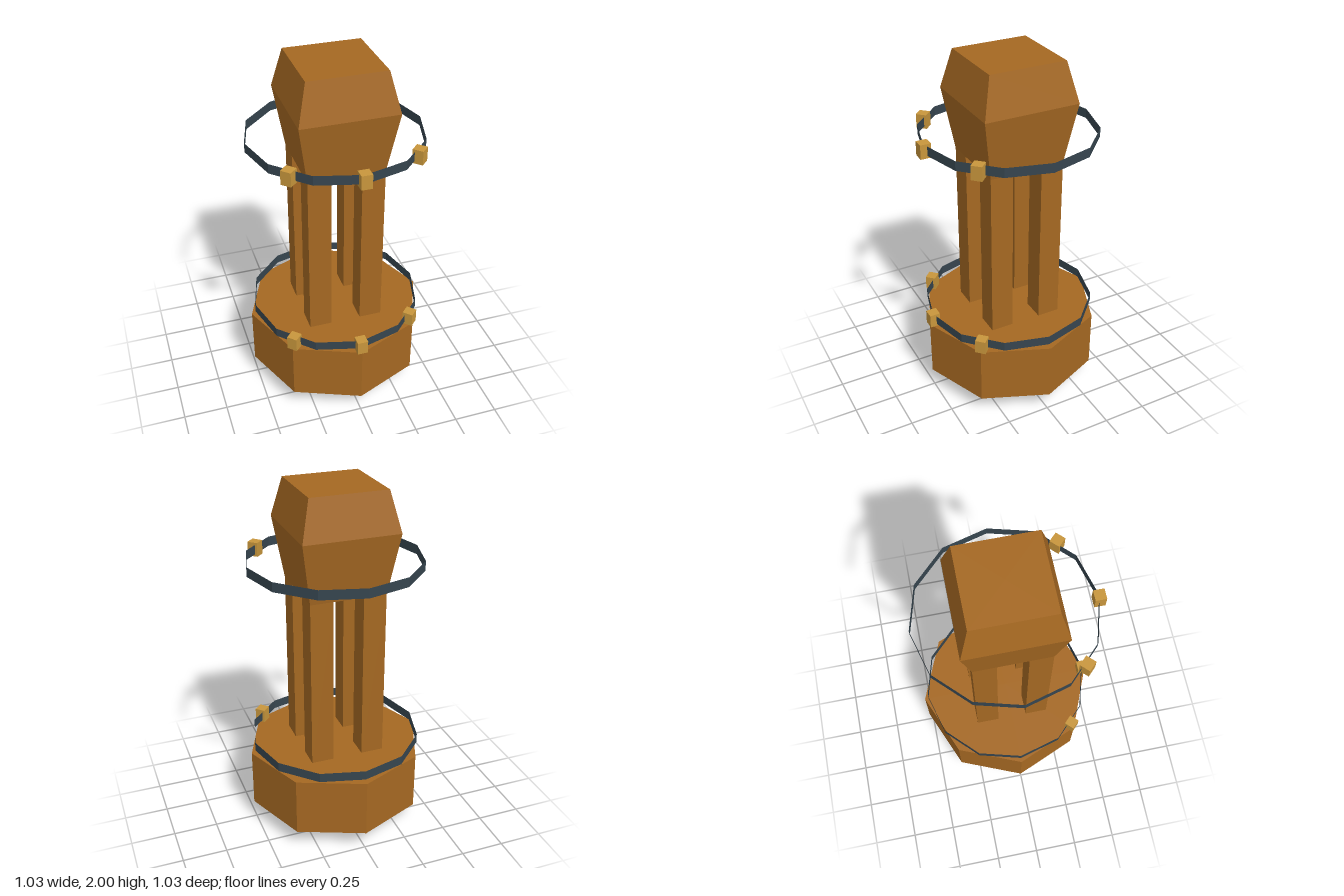
import * as THREE from 'three';

const wood = new THREE.MeshStandardMaterial({ name: 'wood', color: 0xa56822 });
const darkMetal = new THREE.MeshStandardMaterial({ name: 'darkMetal', color: 0x36454f, side: THREE.DoubleSide });
const brass = new THREE.MeshStandardMaterial({ name: 'brass', color: 0xc8963c });

// Faceted mesh with one normal per face
function faceted(name, geometry, material) {
  const flat = geometry.index ? geometry.toNonIndexed() : geometry;
  flat.computeVertexNormals();
  const mesh = new THREE.Mesh(flat, material);
  mesh.name = name;
  return mesh;
}

// Closed solid turned from a [radius, y] profile with few sides
function turned(name, profile, sides, start) {
  const points = profile.map(([r, y]) => new THREE.Vector2(r, y));
  return faceted(name, new THREE.LatheGeometry(points, sides, start), wood);
}

export function createModel() {
  const model = new THREE.Group();
  model.name = 'model';
  const body = new THREE.Group();
  body.name = 'body';
  body.position.z = -0.005;
  model.add(body);

  // Octagonal base, chamfered underneath
  body.add(turned('base', [[0, 0], [0.36, 0], [0.513, 0.112], [0.513, 0.452], [0, 0.452]], 8, 0));

  // Four corner posts
  for (const sx of [-1, 1]) {
    for (const sz of [-1, 1]) {
      const post = faceted('post', new THREE.BoxGeometry(0.13, 0.98, 0.13), wood);
      post.position.set(sx * 0.151, 0.942, sz * 0.151);
      body.add(post);
    }
  }

  // Square head, widest at the shoulder
  const d = Math.SQRT2;
  body.add(turned('head',
    [[0, 1.43], [0.216 * d, 1.43], [0.27 * d, 1.777], [0.217 * d, 2], [0, 2]], 4, Math.PI / 4));

  // Two thin hoops, each with three brass studs across the front
  for (const [name, y] of [['lowerHoop', 0.494], ['upperHoop', 1.574]]) {
    const hoop = new THREE.Group();
    hoop.name = name;
    hoop.position.y = y;
    hoop.add(faceted('band', new THREE.CylinderGeometry(0.49, 0.49, 0.054, 12, 1, true), darkMetal));
    for (const angle of [-Math.PI / 4, 0, Math.PI / 4]) {
      const stud = faceted('stud', new THREE.BoxGeometry(0.06, 0.08, 0.06), brass);
      stud.position.set(Math.sin(angle) * 0.49, 0, Math.cos(angle) * 0.49);
      stud.rotation.y = angle;
      hoop.add(stud);
    }
    body.add(hoop);
  }
  return model;
}
